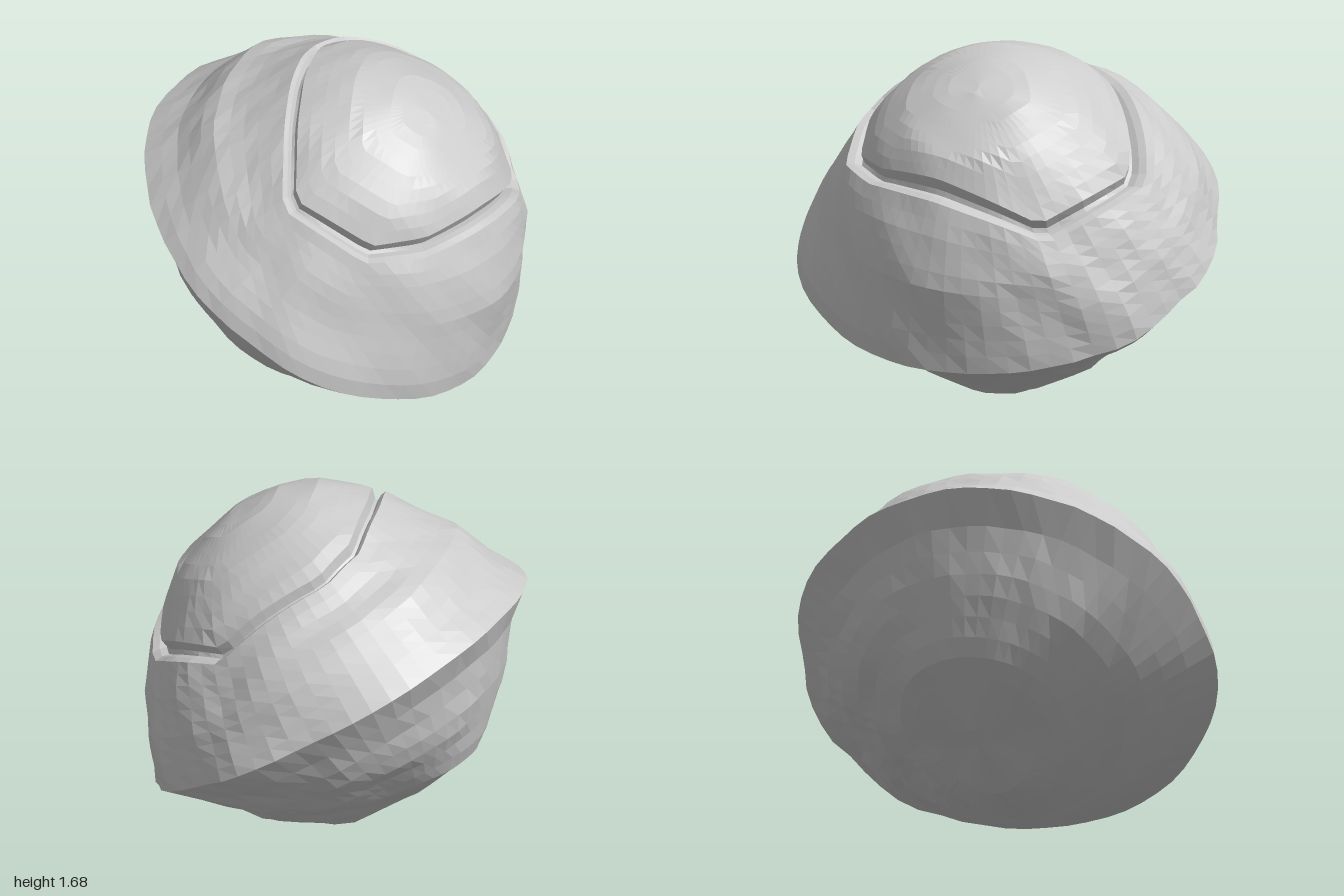
import * as THREE from 'three';

// Outlines in the tilted frame: across the ridge (u, h) and front to back (z, h)
const ACROSS = [[0.955, 0], [0.9, 0.146], [0.81, 0.404], [0.67, 0.587], [0.56, 0.69], [0.4, 0.84],
  [0.048, 0.944], [-0.185, 0.946], [-0.377, 0.88], [-0.46, 0.81], [-0.6, 0.68], [-0.75, 0.44],
  [-0.843, 0.35], [-0.91, 0.149], [-1, 0], [-0.843, -0.124], [-0.7, -0.33], [-0.463, -0.573],
  [-0.06, -0.665], [0.313, -0.672], [0.561, -0.492], [0.803, -0.143]];
const LOWER = [[0.35, -0.55], [0.67, -0.35], [0.89, -0.13]];
const DEPTH = [[1, 0], [0.97, 0.09], [0.86, 0.26], [0.77, 0.41], [0.68, 0.56], [0.53, 0.73], [0.36, 0.86],
  [0.18, 0.925], [0, 0.946], [-0.22, 0.92], [-0.46, 0.8], [-0.67, 0.61], [-0.81, 0.43], [-0.93, 0.25],
  [-1, 0], ...LOWER.map(([z, h]) => [-z, h]).reverse(), [0, -0.665], ...LOWER];
// Corners of the cracked-off cap, projected from the centre on the plane h = 1
const CAP = [[0.6, 0.13], [0.48, 0.62], [0.25, 1.0], [-0.48, 1.1], [-0.78, 0.08], [-0.86, -0.42],
  [-0.72, -0.78], [0.16, -1.32], [0.9, -0.65]];
const COLUMNS = 60;

// Distance from the origin to a closed outline along direction (dx, dy)
function reach(outline, dx, dy) {
  let best = 0;
  outline.forEach(([px, py], i) => {
    const [qx, qy] = outline[(i + 1) % outline.length];
    const ex = qx - px, ey = qy - py;
    const den = dx * ey - dy * ex;
    if (Math.abs(den) < 1e-9) return;
    const t = (px * ey - py * ex) / den;
    const s = (px * dy - py * dx) / den;
    if (t > 0 && s > -1e-6 && s < 1 + 1e-6) best = Math.max(best, t);
  });
  return best;
}

// Lumpy shell surface, theta from the upper pole and phi around it
function surface(theta, phi, drop) {
  const c = Math.cos(phi), s = Math.sin(phi);
  const st = Math.sin(theta), ct = Math.cos(theta);
  const ru = reach(ACROSS, Math.sign(c) * st, ct);
  const rz = reach(DEPTH, Math.sign(s) * st, ct);
  const x = st * c, y = ct, z = st * s;
  const lumps = Math.sin(9 * x + 4 * z + 1) * Math.sin(8 * y - 5 * z)
    + 0.6 * Math.sin(17 * z + 9 * x) * Math.sin(15 * y + 11 * x + 2);
  // Swelling of the ridge at the back left
  const swell = 0.045 * Math.exp(-((x - 0.62) ** 2 + y ** 2 + (z + 0.78) ** 2) / 0.08);
  const r = 1 / Math.hypot(c / ru, s / rz) + swell + lumps * st * (0.008 + 0.01 * Math.max(-z, 0)) - drop;
  return [r * x, r * y, r * z];
}

// Mesh over rows that each give [theta, drop] for a phi; a row at a pole is one point
function patch(name, rows, material) {
  const position = [], index = [];
  const atPole = rows.map((row) => Math.sin(row(0)[0]) < 1e-6);
  rows.forEach((row, i) => {
    for (let j = 0; j < COLUMNS; j++) {
      const phi = ((j + 0.5) / COLUMNS) * Math.PI * 2;
      const [theta, drop] = row(phi);
      position.push(...surface(theta, atPole[i] ? 0.5 : phi, drop));
      if (i === rows.length - 1) continue;
      const a = i * COLUMNS + j, b = i * COLUMNS + ((j + 1) % COLUMNS);
      if (!atPole[i]) index.push(a, b, a + COLUMNS);
      if (!atPole[i + 1]) index.push(b, b + COLUMNS, a + COLUMNS);
    }
  });
  const indexed = new THREE.BufferGeometry();
  indexed.setAttribute('position', new THREE.Float32BufferAttribute(position, 3));
  indexed.setIndex(index);
  const geometry = indexed.toNonIndexed();
  geometry.computeVertexNormals();
  const mesh = new THREE.Mesh(geometry, material);
  mesh.name = name;
  return mesh;
}

export function createModel() {
  const material = new THREE.MeshStandardMaterial({ color: 0xcccccc, flatShading: true });
  const steps = (n, f) => Array.from({ length: n + 1 }, (_, i) => f(i / n));
  const edge = (phi) => Math.atan(reach(CAP, Math.cos(phi), Math.sin(phi)));
  const sink = (phi) => 0.03 * Math.sin(phi) ** 2;
  const gap = (phi) => 0.095 + 0.025 * Math.cos(phi);

  const nut = new THREE.Group();
  nut.name = 'shell';

  // Domed cap, sinking a little towards its front and back edges
  const capRows = steps(10, (t) => (phi) => [t * edge(phi), sink(phi) * t ** 4]);
  nut.add(patch('crackedCap', capRows, material));

  // Crack around the cap: sloping wall under the cap, stepped on the outer side
  const crackSteps = [[0, 0], [0.35, 0.05], [0.6, 0.055], [0.75, 0.025], [1, 0]];
  const crackRows = crackSteps.map(([a, d]) => (phi) => [edge(phi) + a * gap(phi), d + sink(phi) * (1 - a)]);
  nut.add(patch('crack', crackRows, material));

  // Shell from the crack down to the sharp ridge
  const upperRows = steps(10, (t) => (phi) => [THREE.MathUtils.lerp(edge(phi) + gap(phi), Math.PI / 2, t), 0]);
  nut.add(patch('upperShell', upperRows, material));

  // Underside below the ridge
  const lowerRows = steps(12, (t) => () => [(Math.PI / 2) * (1 + t), 0]);
  nut.add(patch('lowerShell', lowerRows, material));

  // Tilt so the ridge slopes down towards the left side
  nut.rotation.z = -0.531;
  nut.position.set(-0.02, 0.73, 0);
  const model = new THREE.Group();
  model.name = 'crackedNut';
  model.add(nut);
  return model;
}
